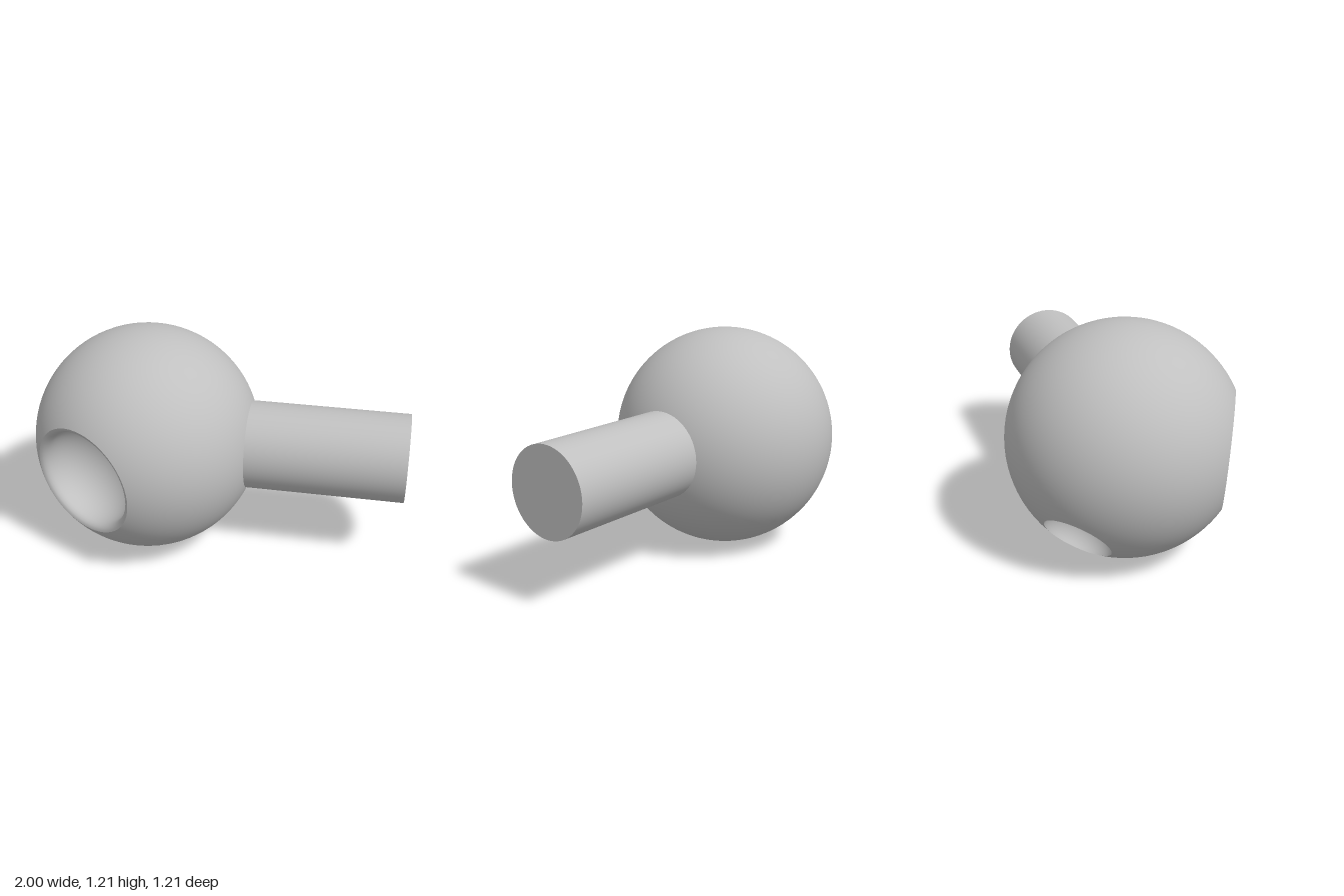
import * as THREE from 'three';
import { ConvexGeometry } from 'three/addons/geometries/ConvexGeometry.js';

const R = 0.606;
const CENTRE = new THREE.Vector3(-0.394, R, 0);
const UP = new THREE.Vector3(0, 1, 0);

// Hollows scooped out of the ball: axis, rim radius, inner radius, depth
const hollows = [
  { name: 'frontHollow', axis: [-0.45, -0.07, 0.89], rim: 0.305, inner: 0.27, depth: 0.27, lip: 0.045 },
  { name: 'rearHole', axis: [-0.503, -0.62, -0.601], rim: 0.18, inner: 0.18, depth: 0.16, lip: 0 },
].map((h) => ({
  ...h,
  axis: new THREE.Vector3(...h.axis).normalize(),
  plane: Math.sqrt(R * R - h.rim * h.rim),
}));

const SIDES = 56;

const tilt = (h) => new THREE.Quaternion().setFromUnitVectors(UP, h.axis);

// Evenly spread sphere points plus exact rim circles, with the rim discs left open
function ballGeometry() {
  const points = [];
  const count = 2400;
  for (let i = 0; i < count; i++) {
    const y = 1 - (2 * (i + 0.5)) / count;
    const r = Math.sqrt(1 - y * y);
    const a = i * Math.PI * (3 - Math.sqrt(5));
    const p = new THREE.Vector3(r * Math.cos(a), y, r * Math.sin(a)).multiplyScalar(R);
    if (hollows.every((h) => p.dot(h.axis) < h.plane - 0.008)) points.push(p);
  }
  for (const h of hollows) {
    for (let i = 0; i < SIDES; i++) {
      const a = (i / SIDES) * Math.PI * 2;
      points.push(new THREE.Vector3(h.rim * Math.sin(a), h.plane, h.rim * Math.cos(a)).applyQuaternion(tilt(h)));
    }
  }
  const hull = new ConvexGeometry(points).getAttribute('position');
  const positions = [];
  const normals = [];
  for (let i = 0; i < hull.count; i += 3) {
    const tri = [0, 1, 2].map((k) => new THREE.Vector3().fromBufferAttribute(hull, i + k));
    const mid = tri[0].clone().add(tri[1]).add(tri[2]).divideScalar(3);
    if (hollows.some((h) => mid.dot(h.axis) > h.plane - 1e-4)) continue;
    for (const p of tri) {
      positions.push(p.x, p.y, p.z);
      normals.push(p.x / R, p.y / R, p.z / R);
    }
  }
  const geometry = new THREE.BufferGeometry();
  geometry.setAttribute('position', new THREE.Float32BufferAttribute(positions, 3));
  geometry.setAttribute('normal', new THREE.Float32BufferAttribute(normals, 3));
  return geometry;
}

// Rounded lip followed by an elliptical bowl, turned about the hollow's axis
function bowlGeometry(h) {
  const profile = [];
  if (h.lip) {
    for (let i = 0; i < 5; i++) {
      const a = (i / 5) * Math.PI / 2;
      profile.push(new THREE.Vector2(h.rim - (h.rim - h.inner) * Math.sin(a), -h.lip * (1 - Math.cos(a))));
    }
  }
  for (let i = 0; i <= 14; i++) {
    const a = (i / 14) * Math.PI / 2;
    profile.push(new THREE.Vector2(
      i === 14 ? 0 : h.inner * Math.cos(a),
      -h.lip - (h.depth - h.lip) * Math.sin(a),
    ));
  }
  return new THREE.LatheGeometry(profile, SIDES);
}

export function createModel() {
  const group = new THREE.Group();
  const grey = new THREE.MeshStandardMaterial({ color: 0xc0c0c0 });
  grey.name = 'grey';
  const add = (name, geometry) => {
    const mesh = new THREE.Mesh(geometry, grey);
    mesh.name = name;
    group.add(mesh);
    return mesh;
  };

  // Ball with its two hollows
  add('ball', ballGeometry()).position.copy(CENTRE);
  for (const h of hollows) {
    const bowl = add(h.name, bowlGeometry(h));
    bowl.quaternion.copy(tilt(h));
    bowl.position.copy(CENTRE).addScaledVector(h.axis, h.plane);
  }

  // Straight round handle, rooted just inside the ball
  const start = 0.14;
  const handle = add('handle', new THREE.CylinderGeometry(0.234, 0.234, 1 - start, 64));
  handle.rotation.z = -Math.PI / 2;
  handle.position.set((1 + start) / 2, R, 0);

  return group;
}
